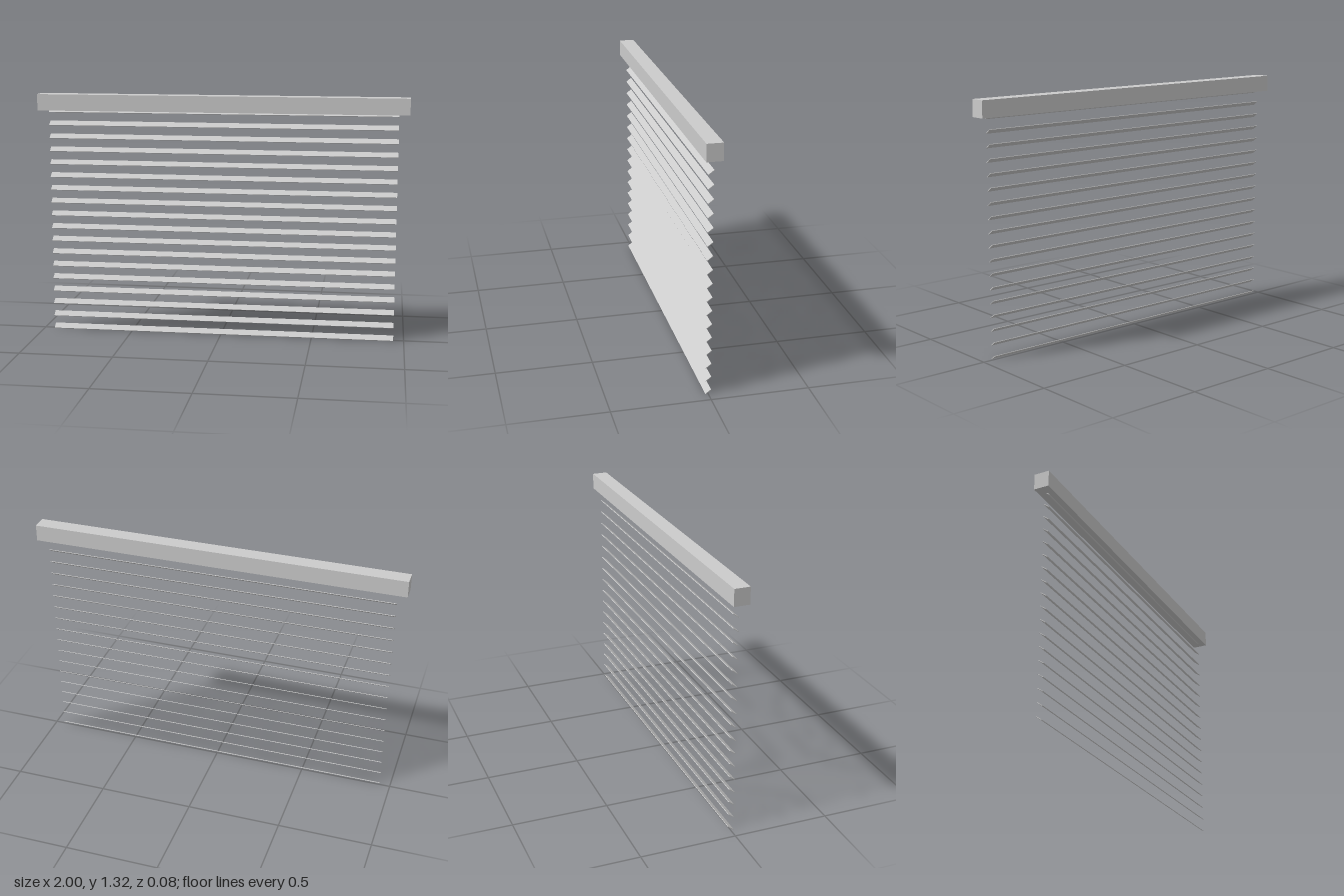
import * as THREE from 'three';

export function createModel() {
  const model = new THREE.Group();
  model.name = 'windowBlind';
  const material = new THREE.MeshStandardMaterial({ color: 0xcccccc, flatShading: true });

  // Head rail across the top
  const railBottom = 1.229, railTop = 1.317;
  const rail = new THREE.Mesh(new THREE.BoxGeometry(2, railTop - railBottom, 0.082), material);
  rail.name = 'headRail';
  rail.position.y = (railBottom + railTop) / 2;
  model.add(rail);

  // Thin slats, tilted down towards the front; the top one tucks into the rail
  const slatCount = 18, pitch = 0.0716, tilt = THREE.MathUtils.degToRad(37);
  const width = 0.036, thickness = 0.003;
  const halfHeight = (width * Math.sin(tilt) + thickness * Math.cos(tilt)) / 2;
  const slatGeometry = new THREE.BoxGeometry(1.888, thickness, width);
  const slats = new THREE.Group();
  slats.name = 'slats';
  for (let i = 0; i < slatCount; i++) {
    const slat = new THREE.Mesh(slatGeometry, material);
    slat.name = `slat${i + 1}`;
    slat.position.y = halfHeight + i * pitch;
    slat.rotation.x = tilt;
    slats.add(slat);
  }
  model.add(slats);

  return model;
}
